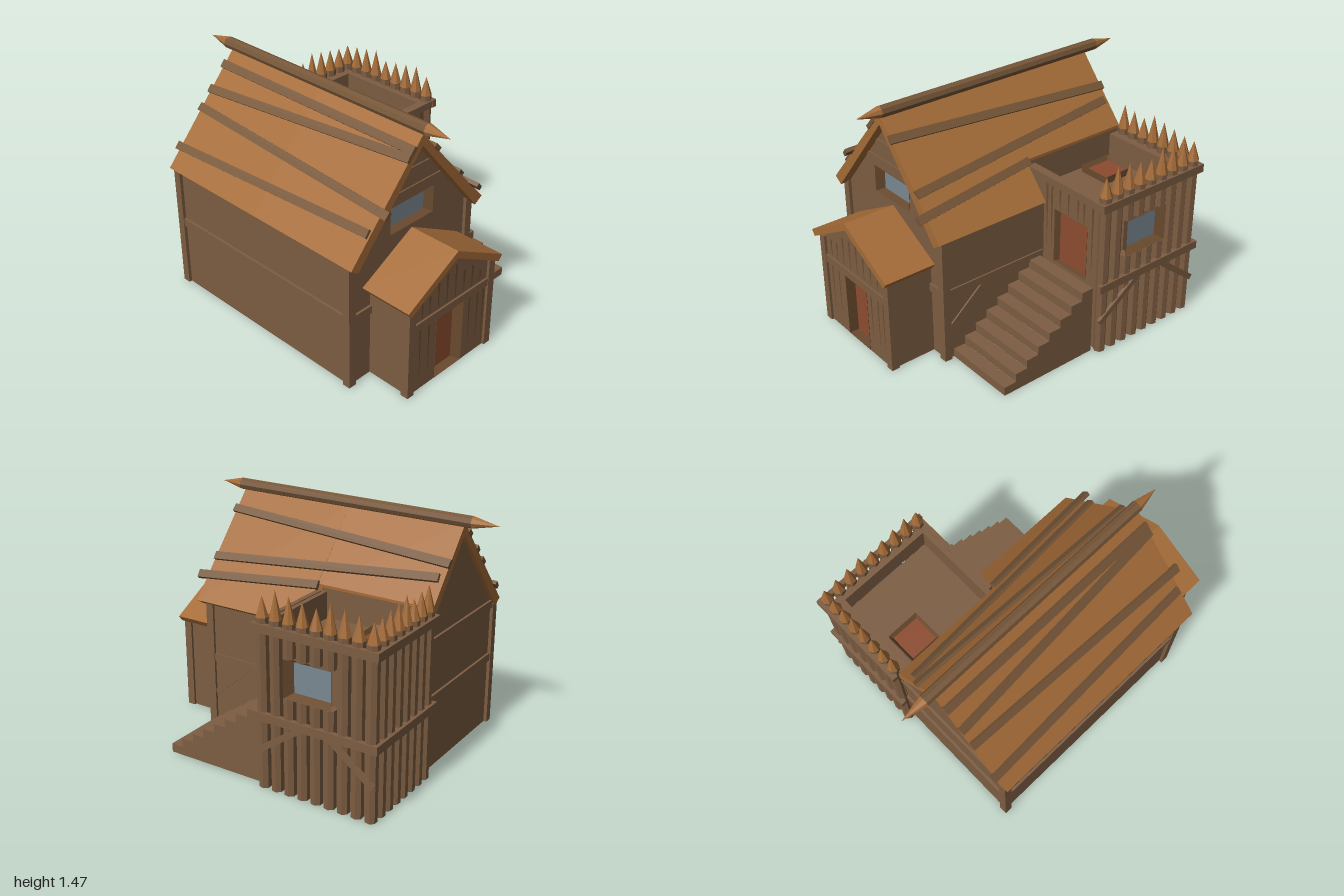
import * as THREE from 'three';

const mat = (name, color) => Object.assign(new THREE.MeshStandardMaterial({ color, side: THREE.DoubleSide }), { name });
const V = (x, y, z) => new THREE.Vector3(x, y, z);

export function createModel() {
  const wood = mat('wall wood', 0x7d5d42), shingle = mat('roof wood', 0xa56c38), plankWood = mat('plank wood', 0x765638),
    frame = mat('frame wood', 0x694a2e), red = mat('red door', 0x8d4b2f), glass = mat('glass', 0x798892);
  const root = new THREE.Group();
  root.name = 'timberHouse';

  // Faceted mesh
  function add(name, geo, material, parent = root) {
    const g = geo.index ? geo.toNonIndexed() : geo;
    g.computeVertexNormals();
    const m = new THREE.Mesh(g, material);
    m.name = name;
    parent.add(m);
    return m;
  }
  // Box given by its two corners
  function box(name, material, x0, y0, z0, x1, y1, z1) {
    const m = add(name, new THREE.BoxGeometry(x1 - x0, y1 - y0, z1 - z0), material);
    m.position.set((x0 + x1) / 2, (y0 + y1) / 2, (z0 + z1) / 2);
    return m;
  }
  // Bar from a to b, width w, thickness t along normal n
  function bar(name, material, a, b, w, t, n) {
    const dir = b.clone().sub(a), len = dir.length();
    dir.normalize();
    const x = n.clone().cross(dir).normalize(), y = dir.clone().cross(x);
    const g = new THREE.BoxGeometry(w, t, len);
    g.applyMatrix4(new THREE.Matrix4().makeBasis(x, y, dir).setPosition(a.clone().add(b).multiplyScalar(0.5)));
    return add(name, g, material);
  }
  const shape = pts => new THREE.Shape(pts.map(p => new THREE.Vector2(...p)));
  const rect = ([x0, y0, x1, y1]) => [[x0, y0], [x1, y0], [x1, y1], [x0, y1]];
  // Flat wall facing +z with rectangular holes
  function wall(name, pts, z, holes = []) {
    const s = shape(pts);
    holes.forEach(h => s.holes.push(new THREE.Path(rect(h).map(p => new THREE.Vector2(...p)))));
    const m = add(name, new THREE.ShapeGeometry(s), wood);
    m.position.z = z;
    return m;
  }
  function sideWall(name, pts, x, holes) { // points are (-z, y), facing +x
    const m = wall(name, pts, 0, holes);
    m.rotation.y = Math.PI / 2;
    m.position.x = x;
    return m;
  }
  // Bevelled recess from an outer rectangle back to an inner one
  function funnel(name, outer, inner, depth, parent) {
    const o = rect(outer), i = rect(inner), pos = [];
    for (let k = 0; k < 4; k++) {
      const n = (k + 1) % 4;
      const a = [...o[k], 0], b = [...o[n], 0], c = [...i[n], -depth], d = [...i[k], -depth];
      pos.push(...a, ...b, ...c, ...a, ...c, ...d);
    }
    const g = new THREE.BufferGeometry();
    g.setAttribute('position', new THREE.Float32BufferAttribute(pos, 3));
    return add(name, g, frame, parent);
  }
  function opening(name, outer, inner, depth, fill) {
    const g = new THREE.Group();
    g.name = name;
    root.add(g);
    funnel(name + 'Frame', outer, inner, depth, g);
    add(name + 'Panel', new THREE.ShapeGeometry(shape(rect(inner))), fill, g).position.z = -depth;
    return g;
  }
  // Tapered gap between boards on a front wall
  function crack(x, y0, y1, z, w = 0.018) {
    const s = shape([[x - w / 2, y1], [x - w * 0.1, y0], [x + w * 0.1, y0], [x + w / 2, y1]]);
    add('boardGap', new THREE.ShapeGeometry(s), frame).position.z = z;
  }
  function extrude(name, pts, z0, z1) {
    const g = new THREE.ExtrudeGeometry(shape(pts), { depth: z1 - z0, bevelEnabled: false });
    add(name, g, shingle).position.z = z0;
  }

  // House shell, open underneath
  const gable = [[-0.72, 0], [0.235, 0], [0.235, 0.8], [-0.24, 1.37], [-0.72, 0.8]];
  const winOut = [-0.41, 0.845, -0.07, 1.01], winIn = [-0.385, 0.855, -0.095, 0.995];
  wall('houseFront', gable, 0.67, [winOut]);
  wall('houseBack', gable, -0.755);
  sideWall('houseLeftWall', rect([-0.67, 0, 0.755, 0.82]), -0.72);
  sideWall('houseRightWall', rect([-0.67, 0, 0.755, 0.82]), 0.235);
  opening('gableWindow', winOut, winIn, 0.05, glass).position.z = 0.672;
  for (const x of [-0.74, 0.2]) for (const z of [0.64, -0.775]) box('cornerPost', wood, x, 0, z, x + 0.05, 0.82, z + 0.05);
  box('frontBeam', wood, -0.74, 0.42, 0.66, 0.25, 0.47, 0.685);
  for (const y of [0.42, 0.77]) box('backBeam', wood, -0.72, y, -0.77, 0.235, y + 0.05, -0.75);
  box('leftBeam', wood, -0.735, 0.42, -0.75, -0.71, 0.47, 0.67);
  box('rightBeam', wood, 0.23, 0.42, -0.05, 0.245, 0.47, 0.67);
  bar('rightBrace', wood, V(0.238, 0.21, 0.64), V(0.238, 0.43, 0.38), 0.035, 0.015, V(1, 0, 0));
  for (const y of [1.055, 1.17]) {
    const w = (1.36 - y) / 1.16 - 0.03;
    box('gableBoard', wood, -0.24 - w, y - 0.03, 0.665, -0.24 + w, y + 0.03, 0.678);
  }

  // Main roof; the rear half is cut where the tower rises
  extrude('frontRoof', [[-0.765, 0.815], [-0.71, 0.78], [-0.24, 1.345], [0.23, 0.78], [0.285, 0.815], [-0.24, 1.41]], -0.03, 0.73);
  extrude('rearRoof', [[-0.765, 0.815], [-0.71, 0.78], [-0.24, 1.345], [0.105, 0.93], [0.105, 1.015], [-0.24, 1.41]], -0.78, -0.03);

  // Crooked planks laid on the roof: x, z at each end
  for (const [x0, z0, x1, z1] of [
    [-0.675, -0.8, -0.63, 0.72], [-0.5, -0.785, -0.548, 0.78], [-0.42, -0.785, -0.34, 0.735], [-0.31, -0.785, -0.31, 0.735],
    [-0.065, -0.785, -0.13, 0.74], [-0.005, -0.75, 0.09, 0.73], [0.12, -0.04, 0.18, 0.79]]) {
    const h = x => 1.42 - 1.135 * Math.abs(x + 0.24);
    const n = V(x0 < -0.24 ? -0.75 : 0.75, 0.66, 0);
    bar('roofPlank', plankWood, V(x0, h(x0), z0), V(x1, h(x1), z1), 0.05, 0.025, n);
  }

  // Ridge log with sharpened ends
  const ridge = new THREE.Group();
  ridge.name = 'ridgeLog';
  ridge.position.set(-0.215, 1.432, 0);
  ridge.rotation.x = Math.PI / 2;
  root.add(ridge);
  add('ridgeShaft', new THREE.CylinderGeometry(0.036, 0.036, 1.58, 8), plankWood, ridge).position.y = -0.05;
  add('ridgeFrontTip', new THREE.ConeGeometry(0.036, 0.15, 8), shingle, ridge).position.y = 0.815;
  const backTip = add('ridgeBackTip', new THREE.ConeGeometry(0.036, 0.155, 8), shingle, ridge);
  backTip.position.y = -0.9175;
  backTip.rotation.x = Math.PI;

  // Porch
  const doorOut = [-0.345, 0.001, -0.12, 0.41], doorIn = [-0.34, 0.001, -0.14, 0.355];
  wall('porchFront', [[-0.56, 0], [0.11, 0], [0.11, 0.59], [-0.24, 0.79], [-0.56, 0.61]], 0.96, [doorOut]);
  opening('porchDoor', doorOut, doorIn, 0.06, red).position.z = 0.962;
  for (const x of [-0.56, 0.11]) sideWall('porchSide', rect([-0.96, 0, -0.67, 0.6]), x);
  for (const x of [-0.58, 0.075]) box('porchPost', wood, x, 0, 0.925, x + 0.05, 0.59, 0.975);
  box('porchBeam', wood, -0.56, 0.42, 0.955, 0.11, 0.47, 0.972);
  extrude('porchRoof', [[-0.62, 0.61], [-0.595, 0.575], [-0.24, 0.775], [0.125, 0.575], [0.15, 0.61], [-0.24, 0.82]], 0.66, 1.0);
  [-0.47, -0.41, -0.34, -0.27, -0.2, -0.13, -0.06, 0.01].forEach((x, i) =>
    crack(x, 0.48, 0.72 - Math.abs(x + 0.24) * 0.55 - (i % 2) * 0.03, 0.964));
  for (const x of [-0.48, -0.41, -0.07, 0, 0.05]) crack(x, 0.1, 0.42, 0.964, 0.014);

  // Tower walls, parapet and deck
  const tDoorOut = [0.33, 0.43, 0.605, 0.78], tDoorIn = [0.345, 0.43, 0.6, 0.767], tWin = [0.23, 0.59, 0.54, 0.82];
  wall('towerFront', rect([0.11, 0, 0.7, 0.98]), -0.06, [tDoorOut]);
  wall('towerBack', rect([0.11, 0, 0.7, 0.98]), -0.765);
  sideWall('towerRight', rect([0.06, 0, 0.765, 0.98]), 0.7, [tWin]);
  sideWall('towerLeft', rect([0.06, 0.78, 0.765, 1.0]), 0.108);
  box('towerBase', wood, 0.235, 0.001, -0.765, 0.7, 0.02, -0.06);
  box('towerDeck', wood, 0.11, 0.78, -0.765, 0.655, 0.82, -0.1);
  box('frontParapet', wood, 0.11, 0.8, -0.095, 0.7, 0.98, -0.061);
  box('backParapet', wood, 0.11, 0.8, -0.764, 0.7, 0.98, -0.7);
  box('rightParapet', wood, 0.655, 0.83, -0.764, 0.699, 0.98, -0.061);
  opening('towerDoor', tDoorOut, tDoorIn, 0.035, red).position.z = -0.058;
  const win = opening('towerWindow', tWin, [0.27, 0.615, 0.505, 0.795], 0.05, glass);
  win.rotation.y = Math.PI / 2;
  win.position.x = 0.748;
  const hatchOut = [0.145, 0.44, 0.355, 0.65];
  const hatch = opening('roofHatch', hatchOut, [0.165, 0.455, 0.335, 0.635], 0.025, red);
  funnel('hatchSides', hatchOut, hatchOut, 0.05, hatch);
  hatch.rotation.x = -Math.PI / 2;
  hatch.position.y = 0.865;
  for (const x of [0.27, 0.31, 0.38, 0.45, 0.53, 0.58, 0.65]) crack(x, x > 0.32 && x < 0.61 ? 0.79 : 0.52, 0.935, -0.054);

  // Palisade of pointed logs
  function log(x, z, i, gap) {
    const spans = gap ? [[0, 0.59], [0.82, 1.02]] : [[0, 1.02]];
    for (const [y0, y1] of spans)
      add('palisadeLog', new THREE.CylinderGeometry(0.036, 0.036, y1 - y0, 7), wood).position.set(x, (y0 + y1) / 2, z);
    const h = 0.12 + 0.045 * ((i * 7) % 4) / 3;
    const tip = add('logTip', new THREE.ConeGeometry(0.037, h, 7), shingle);
    tip.position.set(x, 1.02 + h / 2, z);
    tip.rotation.y = i;
  }
  for (let i = 0; i < 9; i++) log(0.718, -0.08 - i * 0.0865, i, i > 1 && i < 6);
  for (let i = 0; i < 7; i++) log(0.155 + i * 0.081, -0.775, i + 2, false);

  // Rails and braces around the tower
  for (const y of [0.42, 0.94]) {
    box('rightRail', wood, 0.73, y, -0.82, 0.76, y + 0.05, -0.03);
    box('backRail', wood, 0.105, y, -0.825, 0.76, y + 0.05, -0.79);
  }
  box('frontRail', wood, 0.13, 0.94, -0.065, 0.755, 0.985, -0.035);
  bar('frontBrace', wood, V(0.75, 0.22, -0.04), V(0.75, 0.43, -0.34), 0.035, 0.02, V(1, 0, 0));
  bar('rearBrace', wood, V(0.75, 0.22, -0.8), V(0.75, 0.43, -0.53), 0.035, 0.02, V(1, 0, 0));

  // Stairs, hollow underneath
  const steps = 8, run = 0.081, rise = 0.0545, profile = [[0.03, 0], [-0.62, 0]];
  for (let i = 0; i < steps; i++) {
    const z = 0.62 - i * run, y = (i + 1) * rise;
    box('tread', wood, 0.237, y - 0.01, z - run, 0.7, y, z);
    box('riser', wood, 0.237, y - rise, z - 0.01, 0.699, y - 0.005, z - 0.001);
    profile.push([-z, y], [run - z, y]);
  }
  sideWall('stairSide', profile, 0.7);

  return root;
}
